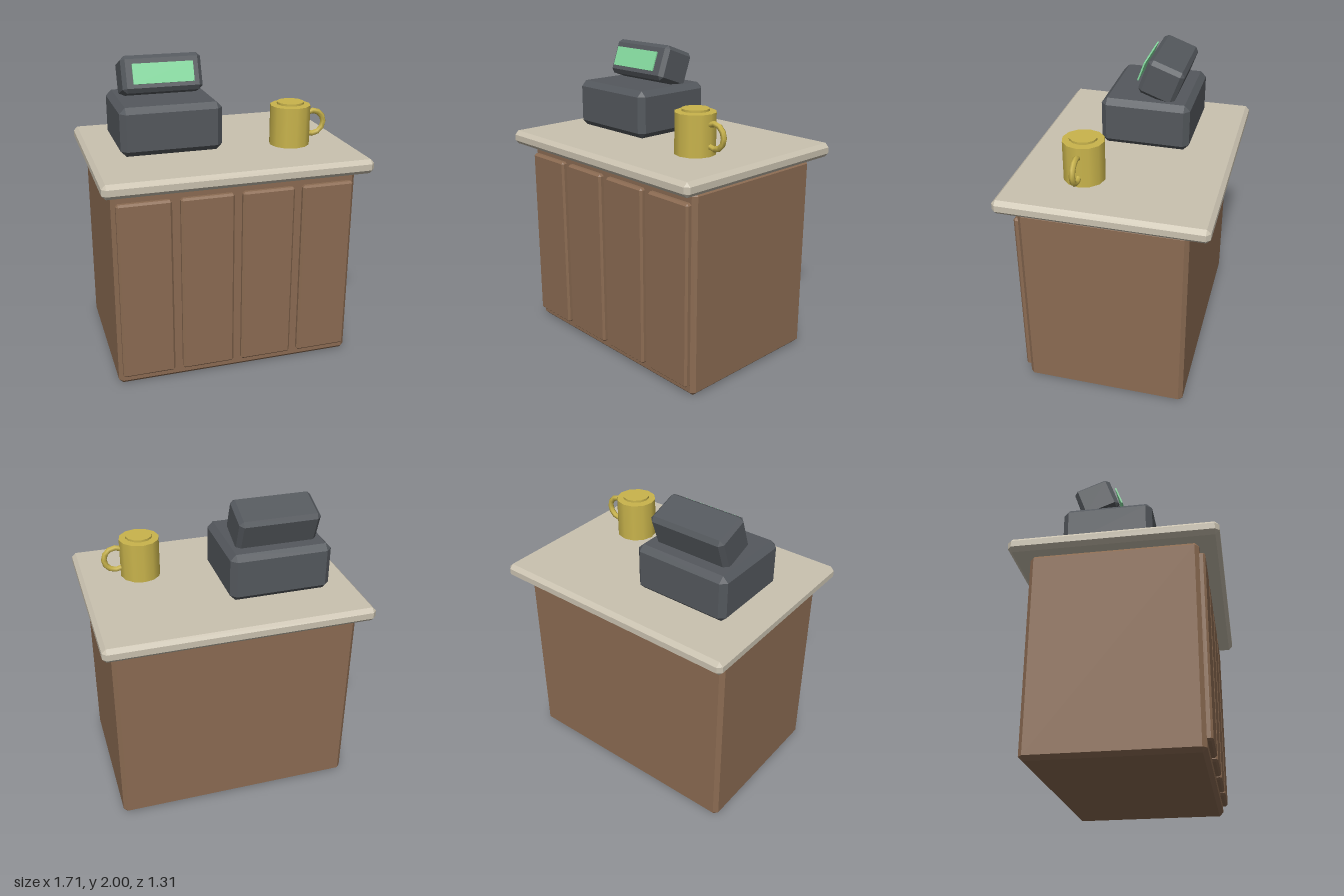
import * as THREE from 'three';
import { ConvexGeometry } from 'three/addons/geometries/ConvexGeometry.js';

const material = (name, color) => Object.assign(new THREE.MeshStandardMaterial({ color }), { name });

// Box with every edge and corner cut flat by c, centred on the origin
function chamferedBox(w, h, d, c) {
  const points = [];
  for (const sx of [-1, 1]) for (const sy of [-1, 1]) for (const sz of [-1, 1]) {
    for (let axis = 0; axis < 3; axis++) {
      const inset = [c, c, c];
      inset[axis] = 0;
      points.push(new THREE.Vector3(
        sx * (w / 2 - inset[0]), sy * (h / 2 - inset[1]), sz * (d / 2 - inset[2])));
    }
  }
  return new ConvexGeometry(points);
}

export function createModel() {
  const model = new THREE.Group();
  model.name = 'checkoutCounter';

  const wood = material('brownWood', 0x8b6b52);
  const stone = material('beigeWorktop', 0xcac2b0);
  const plastic = material('darkGreyPlastic', 0x54585d);
  const glow = material('greenDisplay', 0x86dca0);
  const brass = material('mustardMug', 0xc9b44c);

  function add(parent, name, geometry, mat, x, y, z) {
    const mesh = new THREE.Mesh(geometry, mat);
    mesh.name = name;
    mesh.position.set(x, y, z);
    parent.add(mesh);
    return mesh;
  }

  // Counter: cabinet, four raised front panels, overhanging worktop
  add(model, 'cabinet', chamferedBox(1.575, 1.315, 1.05, 0.026), wood, 0, 0.6575, 0);
  for (let i = 0; i < 4; i++) {
    add(model, 'frontPanel' + (i + 1), chamferedBox(0.34, 1.183, 0.053, 0.013), wood,
      (i - 1.5) * 0.394 - 0.002, 0.6575, 0.5325);
  }
  add(model, 'worktop', chamferedBox(1.708, 0.092, 1.31, 0.026), stone, 0, 1.367, 0);

  // Cash register: base with a tilted head and a thin display in front of it
  const register = new THREE.Group();
  register.name = 'cashRegister';
  register.position.set(-0.331, 0, 0);
  model.add(register);
  const tilt = -0.35;
  add(register, 'registerBase', chamferedBox(0.656, 0.312, 0.582, 0.037), plastic, 0, 1.579, -0.067);
  add(register, 'registerHead', chamferedBox(0.524, 0.24, 0.25, 0.026), plastic, 0, 1.85, -0.155)
    .rotation.x = tilt;
  add(register, 'display', new THREE.BoxGeometry(0.396, 0.13, 0.0095), glow, 0, 1.895, -0.014)
    .rotation.x = tilt;

  // Mug with a lid disc and a ring handle on its left side
  const mug = new THREE.Group();
  mug.name = 'mug';
  mug.position.set(0.455, 0, 0.193);
  model.add(mug);
  add(mug, 'mugBody', new THREE.CylinderGeometry(0.131, 0.131, 0.26, 12), brass, 0, 1.553, 0);
  add(mug, 'mugLid', new THREE.CylinderGeometry(0.088, 0.088, 0.014, 12), brass, 0, 1.696, 0);
  add(mug, 'mugHandle', new THREE.TorusGeometry(0.077, 0.019, 6, 12), brass, 0.159, 1.553, 0);

  return model;
}
